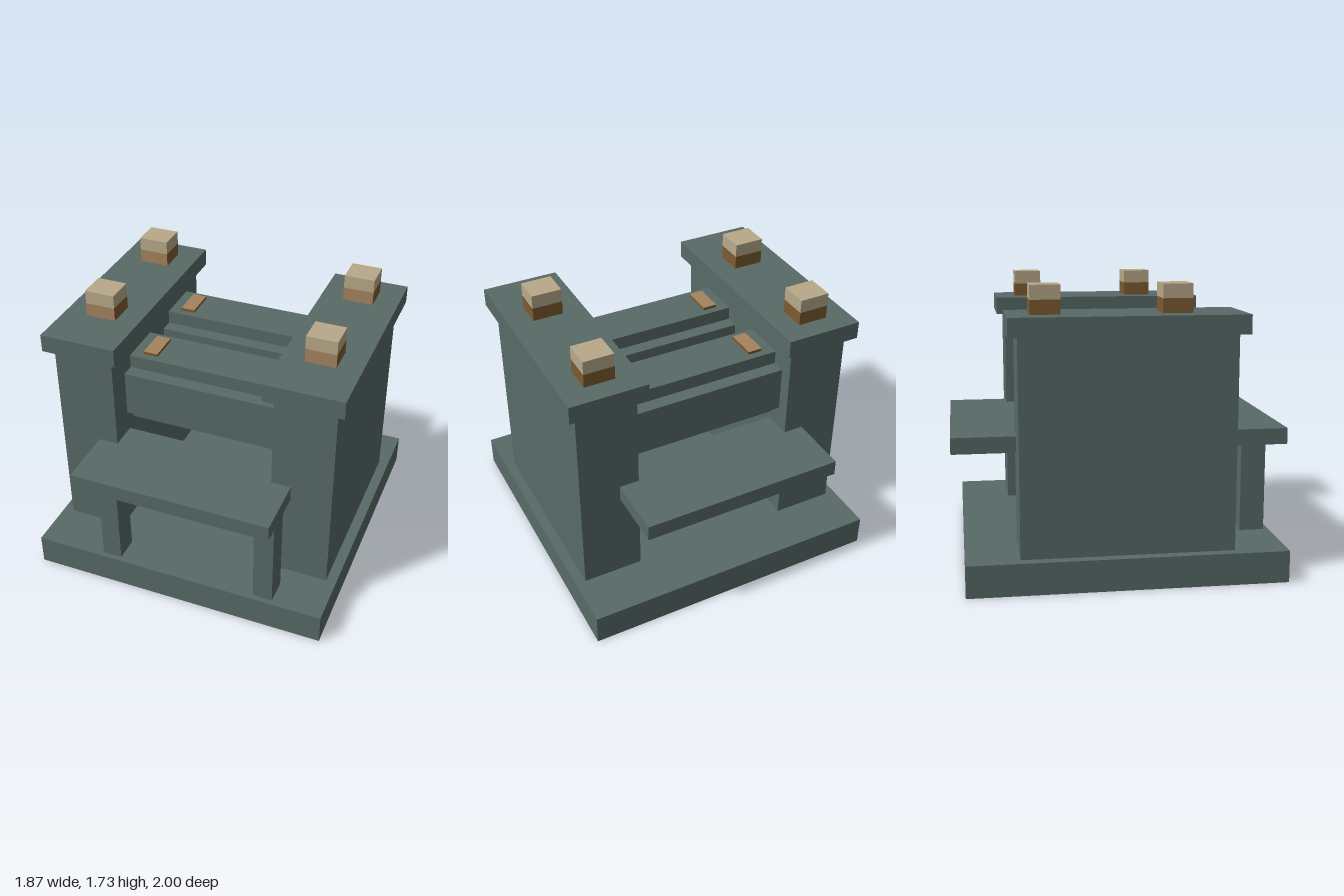
import * as THREE from 'three';

const mat = (name, color) => {
  const m = new THREE.MeshStandardMaterial({ color });
  m.name = name;
  return m;
};

export function createModel() {
  const model = new THREE.Group();
  model.name = 'rollerMill';
  const iron = mat('greyGreen', 0x576a67);
  const tan = mat('paleTan', 0xb9a98a);
  const copper = mat('copperBrown', 0xa68360);
  const brown = mat('darkBrown', 0x7d5a30);

  // Box given by its extents along each axis
  const box = (name, [x0, x1], [y0, y1], [z0, z1], material = iron) => {
    const mesh = new THREE.Mesh(new THREE.BoxGeometry(x1 - x0, y1 - y0, z1 - z0), material);
    mesh.position.set((x0 + x1) / 2, (y0 + y1) / 2, (z0 + z1) / 2);
    mesh.name = name;
    model.add(mesh);
  };
  const span = (a, b, side) => (side > 0 ? [a, b] : [-b, -a]);

  box('base', [-0.935, 0.935], [0, 0.19], [-0.935, 0.935]);

  // Side columns with overhanging caps and two-tone bolts
  for (const side of [-1, 1]) {
    box('column', span(0.5, 0.872, side), [0.19, 1.455], [-0.623, 0.623]);
    box('columnCap', span(0.45, 0.923, side), [1.455, 1.565], [-0.677, 0.677]);
    for (const z of [-0.46, 0.288]) {
      const zs = [z - 0.086, z + 0.086];
      const xs = span(0.592, 0.778, side);
      box('boltBase', xs, [1.565, 1.648], zs, [brown, brown, brown, brown, copper, brown]);
      box('boltHead', xs, [1.648, 1.73], zs, tan);
    }
  }

  // Feed shelves at front and back, the front one on two legs
  for (const side of [-1, 1]) {
    box('shelf', [-0.622, 0.622], [0.755, 0.852], span(0.45, 1, side));
  }
  for (const x of [-0.5, 0.5]) {
    box('shelfLeg', [x, x + 0.121], [0.19, 0.755], [0.752, 0.903]);
  }

  // Rollers: stepped, cross-shaped section run along x
  const a = 0.142, b = 0.225;
  const section = new THREE.Shape([
    [-a, -b], [a, -b], [a, -a], [b, -a], [b, a], [a, a],
    [a, b], [-a, b], [-a, a], [-b, a], [-b, -a], [-a, -a],
  ].map(([u, v]) => new THREE.Vector2(u, v)));
  const rollerGeometry = new THREE.ExtrudeGeometry(section, { depth: 1, bevelEnabled: false });
  rollerGeometry.translate(0, 0, -0.5).rotateY(Math.PI / 2);
  for (const z of [-0.315, 0.246]) {
    const roller = new THREE.Mesh(rollerGeometry, iron);
    roller.name = 'roller';
    roller.position.set(0, 1.128, z);
    model.add(roller);
    // Bearing plates on top near both ends
    for (const x of [-0.384, 0.404]) {
      box('bearingPlate', [x - 0.045, x + 0.045], [1.353, 1.371], [z - 0.097, z + 0.097],
        [brown, brown, copper, brown, brown, brown]);
    }
  }
  return model;
}
